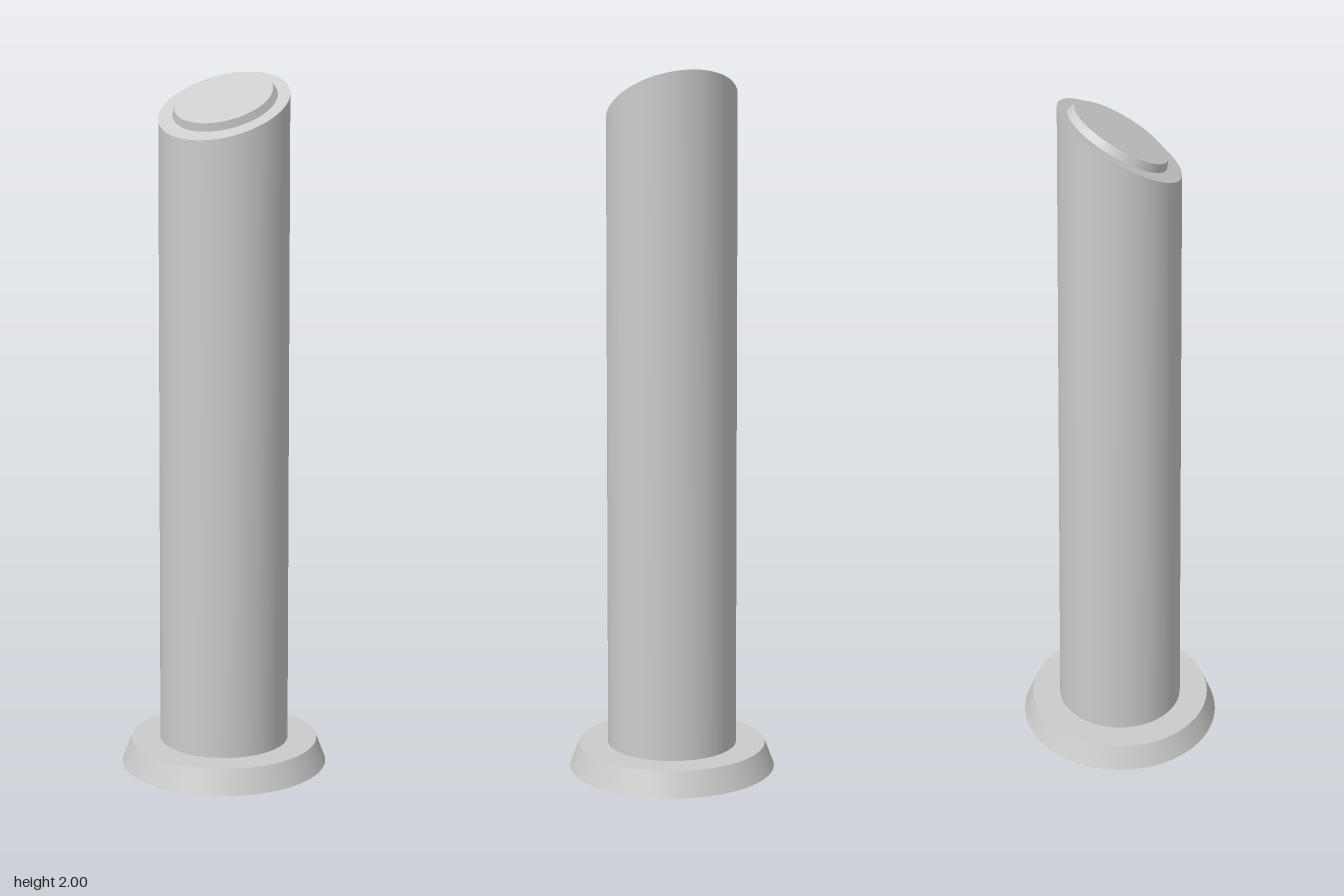
import * as THREE from 'three';

const SEGMENTS = 96;
const TILT = Math.PI / 6;      // slope of the top face towards the front
const BASE_HEIGHT = 0.07;
const POST_RADIUS = 0.188;
const POST_TOP = 1.906;        // height of the centre of the sloped face

const material = new THREE.MeshStandardMaterial({ color: 0xcccccc });

function addPart(group, name, geometry) {
  const mesh = new THREE.Mesh(geometry, material);
  mesh.name = name;
  group.add(mesh);
  return mesh;
}

// Round at the foot, ending in a tilted circle of the same radius
function postGeometry() {
  const height = POST_TOP - BASE_HEIGHT;
  const geometry = new THREE.CylinderGeometry(POST_RADIUS, POST_RADIUS, height, SEGMENTS);
  geometry.translate(0, height / 2, 0);
  const { position, normal } = geometry.attributes;
  for (let i = 0; i < position.count; i++) {
    if (position.getY(i) < height / 2) continue;
    const z = position.getZ(i);
    position.setY(i, height - z * Math.sin(TILT));
    position.setZ(i, z * Math.cos(TILT));
    if (normal.getY(i) > 0.5) normal.setXYZ(i, 0, Math.cos(TILT), Math.sin(TILT));
  }
  return geometry;
}

export function createModel() {
  const model = new THREE.Group();
  model.name = 'bollard';

  // Bevelled foot plate
  const base = addPart(model, 'base',
    new THREE.CylinderGeometry(0.273, 0.3, BASE_HEIGHT, SEGMENTS));
  base.position.y = BASE_HEIGHT / 2;

  // Tall post with the sloped top
  const post = addPart(model, 'post', postGeometry());
  post.position.y = BASE_HEIGHT;

  // Raised disc lying on the sloped face, slightly up the slope
  const slopedTop = new THREE.Group();
  slopedTop.name = 'slopedTop';
  slopedTop.position.y = POST_TOP;
  slopedTop.rotation.x = TILT;
  const discHeight = 0.021;
  const disc = addPart(slopedTop, 'raisedDisc',
    new THREE.CylinderGeometry(0.141, 0.15, discHeight, SEGMENTS));
  disc.position.set(0, discHeight / 2, -0.007);
  model.add(slopedTop);

  return model;
}
